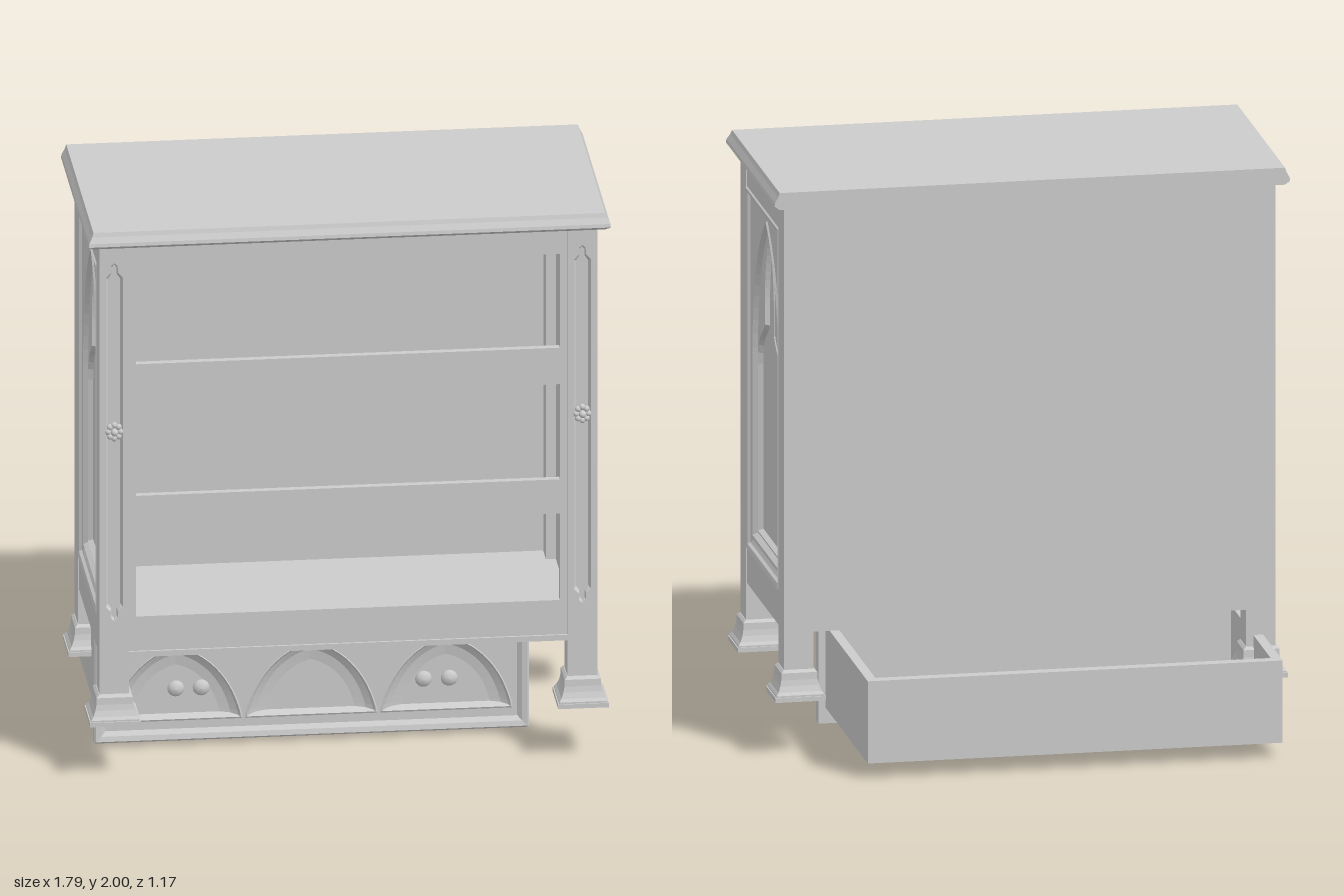
import * as THREE from 'three';

const mat = new THREE.MeshStandardMaterial({ color: 0xcccccc, side: THREE.DoubleSide });

function add(parent, name, geo, x = 0, y = 0, z = 0) {
  const m = new THREE.Mesh(geo, mat);
  m.name = name;
  m.position.set(x, y, z);
  parent.add(m);
  return m;
}

// Box given by its extents
function box(parent, name, x0, x1, y0, y1, z0, z1) {
  return add(parent, name, new THREE.BoxGeometry(x1 - x0, y1 - y0, z1 - z0),
    (x0 + x1) / 2, (y0 + y1) / 2, (z0 + z1) / 2);
}

function group(parent, name) {
  const g = new THREE.Group();
  g.name = name;
  parent.add(g);
  return g;
}

// Outlines are counter-clockwise lists of Vector2
const V = (x, y) => new THREE.Vector2(x, y);
const rect = (x0, x1, y0, y1) => [V(x0, y0), V(x1, y0), V(x1, y1), V(x0, y1)];
const shift = (pts, dx) => pts.map(p => V(p.x + dx, p.y));

// Mirror a right-hand half (bottom to top) into a closed outline
function mirror(half) {
  const left = half.filter(p => p.x > 1e-6).map(p => V(-p.x, p.y)).reverse();
  return [...half, ...left];
}

// Shrink an outline by k on every side
function inset(pts, k) {
  const b = new THREE.Box2().setFromPoints(pts);
  const c = b.getCenter(V(0, 0)), s = b.getSize(V(0, 0));
  return pts.map(p => V(c.x + (p.x - c.x) * (1 - 2 * k / s.x), c.y + (p.y - c.y) * (1 - 2 * k / s.y)));
}

// Moulding: band of quads through a series of [outline, depth] loops
function moulding(parent, name, loops) {
  const pos = [];
  for (let j = 0; j + 1 < loops.length; j++) {
    const [A, za] = loops[j], [B, zb] = loops[j + 1];
    A.forEach((a, i) => {
      const n = (i + 1) % A.length, a2 = A[n], b = B[i], b2 = B[n];
      pos.push(a.x, a.y, za, a2.x, a2.y, za, b2.x, b2.y, zb);
      pos.push(a.x, a.y, za, b2.x, b2.y, zb, b.x, b.y, zb);
    });
  }
  const g = new THREE.BufferGeometry();
  g.setAttribute('position', new THREE.Float32BufferAttribute(pos, 3));
  g.computeVertexNormals();
  return add(parent, name, g);
}

// Flat face with cut-outs
function plate(parent, name, outline, holes, z) {
  const s = new THREE.Shape(outline);
  s.holes = holes.map(h => new THREE.Path(h));
  return add(parent, name, new THREE.ShapeGeometry(s), 0, 0, z);
}

function curve(n, ...c) {
  return new THREE.CubicBezierCurve(...c.map(p => V(p[0], p[1]))).getPoints(n);
}

function createTop(root) {
  const g = group(root, 'top');
  g.rotation.x = -Math.PI / 2;
  const loop = (hx, zf) => rect(-hx, hx, -zf, 0.283);
  moulding(g, 'topEdge', [
    [loop(0.877, 0.567), 1.94], [loop(0.895, 0.585), 1.953], [loop(0.893, 0.583), 1.965],
    [loop(0.882, 0.572), 1.985], [loop(0.877, 0.567), 2]]);
  plate(g, 'topSurface', loop(0.877, 0.567), [], 2);
  plate(g, 'topUnderside', loop(0.877, 0.567), [], 1.94);
}

function createFoot(root, x, z) {
  const profile = [[0, 0.305], [0.053, 0.305], [0.062, 0.296], [0.063, 0.272], [0.067, 0.252],
    [0.075, 0.232], [0.083, 0.222], [0.083, 0.216], [0.087, 0.216], [0.087, 0.2], [0, 0.2]]
    .map(([r, y]) => V(r * Math.SQRT2, y)).reverse();
  const geo = new THREE.LatheGeometry(profile, 4).toNonIndexed();
  geo.rotateY(Math.PI / 4);
  geo.computeVertexNormals();
  add(root, 'foot', geo, x, 0, z);
}

function createFrontPost(root, x) {
  const g = group(root, 'frontPost');
  g.position.x = x;
  const face = rect(-0.051, 0.051, 0.3, 1.94);
  const groove = mirror([V(0, 0.57), V(0.011, 0.58), V(0.013, 0.605), V(0.029, 0.622),
    V(0.029, 1.822), V(0.013, 1.84), V(0.011, 1.865), V(0, 1.875)]);
  box(g, 'postCore', -0.051, 0.051, 0.3, 1.94, 0.44, 0.525);
  moulding(g, 'postSides', [[face, 0.525], [face, 0.537]]);
  plate(g, 'postFace', face, [groove], 0.537);
  moulding(g, 'postGroove', [[groove, 0.537], [inset(groove, 0.008), 0.5255]]);
  // Rosette
  add(g, 'rosetteCentre', new THREE.SphereGeometry(0.013, 12, 8), 0, 1.26, 0.543);
  for (let i = 0; i < 8; i++) {
    const a = i * Math.PI / 4;
    const p = add(g, 'rosettePetal', new THREE.SphereGeometry(0.011, 10, 6),
      0.021 * Math.cos(a), 1.26 + 0.024 * Math.sin(a), 0.535);
    p.scale.z = 0.9;
  }
}

// Side panel, made facing +z and turned outward
function createSide(root, s) {
  const g = group(root, 'sidePanel');
  g.rotation.y = s * Math.PI / 2;
  g.position.z = 0.152;
  const w = 0.288;
  box(g, 'sideWall', -w, w, 0.435, 1.94, 0.785, 0.81);
  box(g, 'sideTopRail', -w, w, 1.835, 1.94, 0.785, 0.85);
  box(g, 'sideBottomRail', -w, w, 0.435, 0.56, 0.785, 0.85);
  const frame = rect(-w, w, 0.56, 1.835), inner = inset(frame, 0.036);
  moulding(g, 'panelFrame', [[frame, 0.85], [inset(frame, 0.004), 0.856],
    [inset(frame, 0.018), 0.852], [inset(frame, 0.024), 0.842], [inner, 0.835]]);
  // Pointed arch
  const arch = mirror([V(0.243, 0.61), ...curve(14, [0.243, 1.28], [0.235, 1.53], [0.13, 1.7], [0, 1.786])]);
  const arch2 = inset(arch, 0.018);
  plate(g, 'spandrels', inner, [arch], 0.835);
  moulding(g, 'archMoulding', [[arch, 0.835], [inset(arch, 0.007), 0.841], [arch2, 0.824]]);
  // Trefoil opening inside the arch
  const trefoil = mirror([V(0.21, 0.635),
    ...curve(8, [0.21, 1.23], [0.205, 1.35], [0.125, 1.345], [0.083, 1.4]),
    ...curve(10, [0.083, 1.47], [0.083, 1.57], [0.05, 1.69], [0, 1.757])]);
  plate(g, 'tracery', arch2, [trefoil], 0.824);
  moulding(g, 'traceryMoulding', [[trefoil, 0.824], [inset(trefoil, 0.005), 0.828], [inset(trefoil, 0.013), 0.8105]]);
}

function createDrawer(root) {
  const g = group(root, 'drawer');
  g.position.x = -0.09;
  // Open box behind the front
  box(g, 'drawerFloor', -0.72, 0.72, 0.055, 0.075, -0.585, 0.165);
  box(g, 'drawerBack', -0.72, 0.72, 0.055, 0.345, -0.585, -0.545);
  for (const s of [-1, 1])
    add(g, 'drawerSide', new THREE.BoxGeometry(0.034, 0.29, 0.75), s * 0.703, 0.2, -0.21);
  // Framed front with three arches
  const outer = rect(-0.745, 0.745, 0, 0.387), inner = inset(outer, 0.039);
  box(g, 'drawerFrontCore', -0.745, 0.745, 0, 0.387, 0.165, 0.172);
  moulding(g, 'drawerFrame', [[outer, 0.172], [outer, 0.21], [inset(outer, 0.006), 0.215],
    [inset(outer, 0.024), 0.211], [inner, 0.198]]);
  const arch = mirror([V(0.228, 0.068), ...curve(14, [0.226, 0.085], [0.19, 0.23], [0.1, 0.315], [0, 0.337])]);
  // The scooped reveal narrows toward the flat back of each arch
  const scoop = (k, dy) => arch.map(p => V(p.x * k, 0.07 + dy + (p.y - 0.068) * k));
  const bays = [-0.463, 0, 0.463];
  plate(g, 'drawerSpandrels', inner, bays.map(x => shift(arch, x)), 0.198);
  for (const x of bays)
    moulding(g, 'drawerArch', [[arch, 0.198], [scoop(0.97, 0.004), 0.201], [scoop(0.93, 0.008), 0.192],
      [scoop(0.82, 0.013), 0.179], [scoop(0.66, 0.016), 0.1725]]).position.x = x;
  // Knobs
  const knob = new THREE.LatheGeometry([[0.009, 0], [0.009, 0.036], [0.027, 0.044], [0.029, 0.051],
    [0.025, 0.059], [0.013, 0.066], [0, 0.068]].map(p => V(...p)), 20);
  for (const x of [-0.467, -0.38, 0.382, 0.47])
    add(g, 'knob', knob, x, 0.195, 0.172).rotation.x = Math.PI / 2;
}

export function createModel() {
  const root = new THREE.Group();
  root.name = 'cabinet';
  createTop(root);
  for (const s of [-1, 1]) {
    createFrontPost(root, s * 0.802);
    add(root, 'backPost', new THREE.BoxGeometry(0.102, 1.64, 0.1), s * 0.802, 1.12, -0.186);
    createFoot(root, s * 0.802, 0.489);
    createFoot(root, s * 0.802, -0.187);
    createSide(root, s);
  }
  // Front frame with three drawer openings
  const front = new THREE.Shape(rect(-0.751, 0.751, 0.435, 1.94));
  for (const [y0, y1] of [[0.58, 0.895], [1.02, 1.367], [1.5, 1.842]])
    front.holes.push(new THREE.Path(rect(-0.726, 0.726, y0, y1)));
  add(root, 'frontFrame', new THREE.ExtrudeGeometry(front, { depth: 0.025, bevelEnabled: false }), 0, 0, 0.503);
  box(root, 'frontMoulding', -0.751, 0.751, 0.435, 0.455, 0.52, 0.536);
  box(root, 'backPanel', -0.751, 0.751, 0.435, 1.94, -0.236, -0.22);
  box(root, 'cabinetFloor', -0.79, 0.79, 0.436, 0.475, -0.22, 0.51);
  createDrawer(root);
  return root;
}
